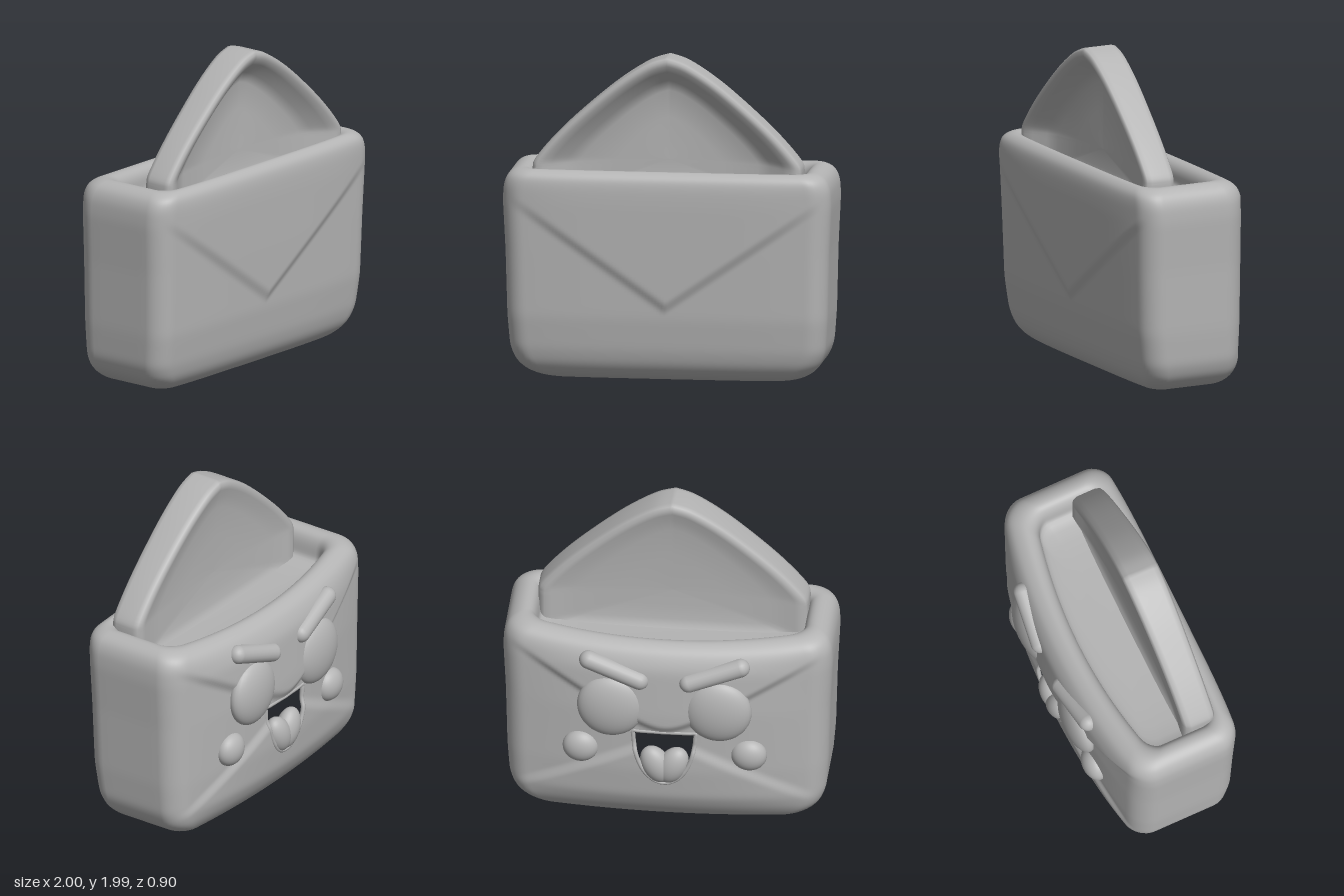
import * as THREE from 'three';

const material = new THREE.MeshStandardMaterial({ color: 0xb4b4b4 });
material.name = 'plain grey';
const { smoothstep, lerp } = THREE.MathUtils;

// Joins closed rings of equal length into a smooth surface; skip(x, y, z) leaves holes
function loft(rings, skip) {
  const n = rings[0].length, index = [], flat = rings.flat();
  for (let i = 0; i < rings.length - 1; i++) {
    for (let j = 0; j < n; j++) {
      const a = i * n + j, b = i * n + (j + 1) % n, c = b + n, d = a + n;
      const mid = [0, 1, 2].map(k => (flat[a][k] + flat[c][k]) / 2);
      if (!skip(...mid)) index.push(a, b, c, a, c, d);
    }
  }
  const g = new THREE.BufferGeometry();
  g.setAttribute('position', new THREE.Float32BufferAttribute(flat.flat(), 3));
  g.setIndex(index);
  g.computeVertexNormals();
  return g;
}

// Body profile from the base, up the outside, over the rim and down into the pocket:
// y, half width, front z, back z at the sides, extra bulge at the back, fold relief
const PROFILE = [
  [0, 0.001, 0.021, 0.02, 0, 0],
  [0, 0.66, 0.2, -0.16, 0.05, 0],
  [0.01, 0.77, 0.26, -0.2, 0.05, 0],
  [0.05, 0.865, 0.32, -0.225, 0.06, 0],
  [0.11, 0.925, 0.36, -0.245, 0.075, 0.4],
  [0.2, 0.96, 0.385, -0.25, 0.1, 1],
  [0.4, 0.975, 0.41, -0.25, 0.125, 1],
  [0.8, 0.985, 0.422, -0.25, 0.135, 1],
  [1.1, 1, 0.43, -0.25, 0.12, 1],
  [1.2, 0.995, 0.435, -0.25, 0.1, 0.7],
  [1.265, 0.97, 0.433, -0.235, 0.1, 0.3],
  [1.295, 0.925, 0.405, -0.2, 0.1, 0],
  [1.306, 0.88, 0.375, -0.165, 0.1, 0],
  [1.29, 0.834, 0.34, -0.12, 0.1, 0],
  [1.24, 0.812, 0.33, -0.1, 0.1, 0],
  [1.09, 0.8, 0.33, -0.1, 0.1, 0],
  [1.09, 0.001, 0.101, 0.1, 0, 0],
];

function frontZ(x, [y, w, zf, , , k]) {
  const a = Math.abs(x), fade = Math.max(0, 1 - (a / 0.95) ** 6);
  return zf - 0.02 * (a / w) ** 4 + k * fade * 0.02 * smoothstep(y - 0.46 - 0.69 * a, -0.03, 0.05);
}

function backZ(x, [y, w, , zb, bulge, k]) {
  const a = Math.abs(x), fade = Math.max(0, 1 - (a / 0.95) ** 6);
  const flap = 0.028 * smoothstep(y - 0.62 - 0.6 * Math.hypot(a, 0.12), -0.03, 0.04);
  const lower = 0.022 * (1 - smoothstep(y - 0.64 + 0.5 * a, -0.04, 0.04));
  return zb - bulge * (1 - (x / w) ** 2) - k * fade * (flap + lower);
}

const mix = (p, q, t) => p.map((v, i) => lerp(v, q[i], t));
const rowAt = y => {
  const i = PROFILE.findIndex(p => p[0] > y);
  return mix(PROFILE[i - 1], PROFILE[i], (y - PROFILE[i - 1][0]) / (PROFILE[i][0] - PROFILE[i - 1][0]));
};

// Rounded rectangle from -1 to 1, running along the front, right, back and left
function unitRing() {
  const pts = [], ru = 0.12, rv = 0.36;
  const corners = [[1, 1, 90, 90], [1, -1, 0, 6], [-1, -1, -90, 90], [-1, 1, -180, 6]];
  for (const [sx, sz, start, count] of corners) {
    // straight edge leading to this corner, then the corner itself
    const from = count === 90 ? [-sx * (1 - ru), sz] : [sx, -sz * (1 - rv)];
    const a0 = THREE.MathUtils.degToRad(start);
    const corner = t => [sx * (1 - ru) + ru * Math.cos(a0 - t * Math.PI / 2), sz * (1 - rv) + rv * Math.sin(a0 - t * Math.PI / 2)];
    for (let i = 1; i < count; i++) pts.push(mix(from, corner(0), i / count));
    for (let i = 0; i <= 8; i++) pts.push(corner(i / 8));
  }
  return pts;
}

const MOUTH = { w: 0.19, top: 0.67, h: 0.36 };

function bodyGeometry() {
  let rows = [];
  PROFILE.slice(0, -1).forEach((p, i) => {
    const q = PROFILE[i + 1], steps = Math.max(4, Math.ceil(Math.abs(q[0] - p[0]) / 0.015));
    for (let s = 0; s < steps; s++) rows.push(mix(p, q, s / steps));
  });
  rows.push(PROFILE.at(-1));
  // soften the corners of the profile
  for (let pass = 0; pass < 8; pass++) {
    rows = rows.map((r, i) => i && i < rows.length - 1 ? mix(r, mix(rows[i - 1], rows[i + 1], 0.5), 0.5) : r);
  }
  const unit = unitRing();
  const rings = rows.map(r => unit.map(([u, v]) => {
    const x = u * r[1];
    // the back rim sags in the middle
    const sag = 0.045 * (1 - u * u) * Math.max(0, -v) * smoothstep(r[0], 1.1, 1.3);
    return [x, r[0] - sag, lerp(backZ(x, r), frontZ(x, r), (v + 1) / 2)];
  }));
  return loft(rings, (x, y, z) => z < -0.2 && y < MOUTH.top &&
    (x / MOUTH.w) ** 2 + ((MOUTH.top - y) / MOUTH.h) ** 2 < 1);
}

// Raised flap: a pointed panel, nearly flat behind and hollowed in front
function flapGeometry() {
  const right = new THREE.SplineCurve([[0.82, 1.3], [0.8, 1.36], [0.67, 1.51], [0.5, 1.67], [0.3, 1.835], [0.12, 1.95], [0, 1.99]]
    .map(p => new THREE.Vector2(...p))).getPoints(30);
  const outline = [];
  for (let i = -12; i <= 12; i++) outline.push([i / 12 * 0.81, 1.06]);
  for (let i = 1; i < 8; i++) outline.push([0.82, lerp(1.06, 1.3, i / 8)]);
  right.forEach(p => outline.push([p.x, p.y]));
  right.slice(0, -1).reverse().forEach(p => outline.push([-p.x, p.y]));
  for (let i = 7; i > 0; i--) outline.push([-0.82, lerp(1.06, 1.3, i / 8)]);
  // scale and depth of each ring, from the middle of the back round to the front
  const steps = [[0.001, 0.16], [0.4, 0.158], [0.7, 0.152], [0.82, 0.142], [0.9, 0.13], [0.95, 0.125], [0.985, 0.14],
    [1, 0.17], [1, 0.29], [0.99, 0.318], [0.965, 0.33], [0.92, 0.326], [0.86, 0.3], [0.76, 0.245], [0.66, 0.21], [0.4, 0.195], [0.001, 0.195]];
  return loft(steps.map(([s, z]) => outline.map(([x, y]) => {
    const py = 1.35 + (y - 1.35) * s;
    const lean = z < 0.28 ? 0.035 * Math.max(0, (py - 1.3) / 0.7) ** 2 : 0;
    return [x * s, py, z - lean];
  })), (x, y) => y < 1.09);
}

export function createModel() {
  const model = new THREE.Group();
  const add = (name, geometry, pos = [0, 0, 0], scale = [1, 1, 1], roll = 0) => {
    const m = new THREE.Mesh(geometry, material);
    m.name = name;
    m.position.set(...pos);
    m.scale.set(...scale);
    m.rotation.z = roll;
    model.add(m);
    return m;
  };
  const ball = new THREE.SphereGeometry(1, 32, 20);

  add('envelopeBody', bodyGeometry());
  add('raisedFlap', flapGeometry());

  // Face on the back
  for (const s of [-1, 1]) {
    const side = s > 0 ? 'left' : 'right';
    add(side + 'Eye', ball, [s * 0.325, 0.84, -0.365], [0.205, 0.21, 0.085]);
    add(side + 'Cheek', ball, [s * 0.51, 0.52, -0.335], [0.11, 0.105, 0.075]);
    // brow slanting down towards the middle
    const outer = new THREE.Vector3(s * 0.46, 1.15, -0.355), inner = new THREE.Vector3(s * 0.15, 1.04, -0.385);
    const span = outer.clone().sub(inner);
    const brow = add(side + 'Brow', new THREE.CapsuleGeometry(0.058, span.length(), 8, 20),
      outer.add(inner).multiplyScalar(0.5).toArray());
    brow.quaternion.setFromUnitVectors(new THREE.Vector3(0, 1, 0), span.normalize());
  }

  // Lip round the open mouth
  const lip = [];
  const addLipPoint = (x, y) => lip.push(new THREE.Vector3(x, y, backZ(x, rowAt(y)) + 0.008));
  for (let i = 0; i <= 40; i++) {
    const a = Math.PI * (1 + i / 40);
    addLipPoint(MOUTH.w * Math.cos(a), MOUTH.top + MOUTH.h * Math.sin(a));
  }
  for (let i = 1; i < 12; i++) addLipPoint(lerp(MOUTH.w, -MOUTH.w, i / 12), MOUTH.top);
  add('mouthLip', new THREE.TubeGeometry(new THREE.CatmullRomCurve3(lip, true), 120, 0.014, 10, true));

  // Heart-shaped tongue
  for (const s of [-1, 1]) {
    add('tongueHalf', ball, [s * 0.05, 0.43, -0.36], [0.088, 0.13, 0.07], s * -0.45);
  }
  return model;
}
